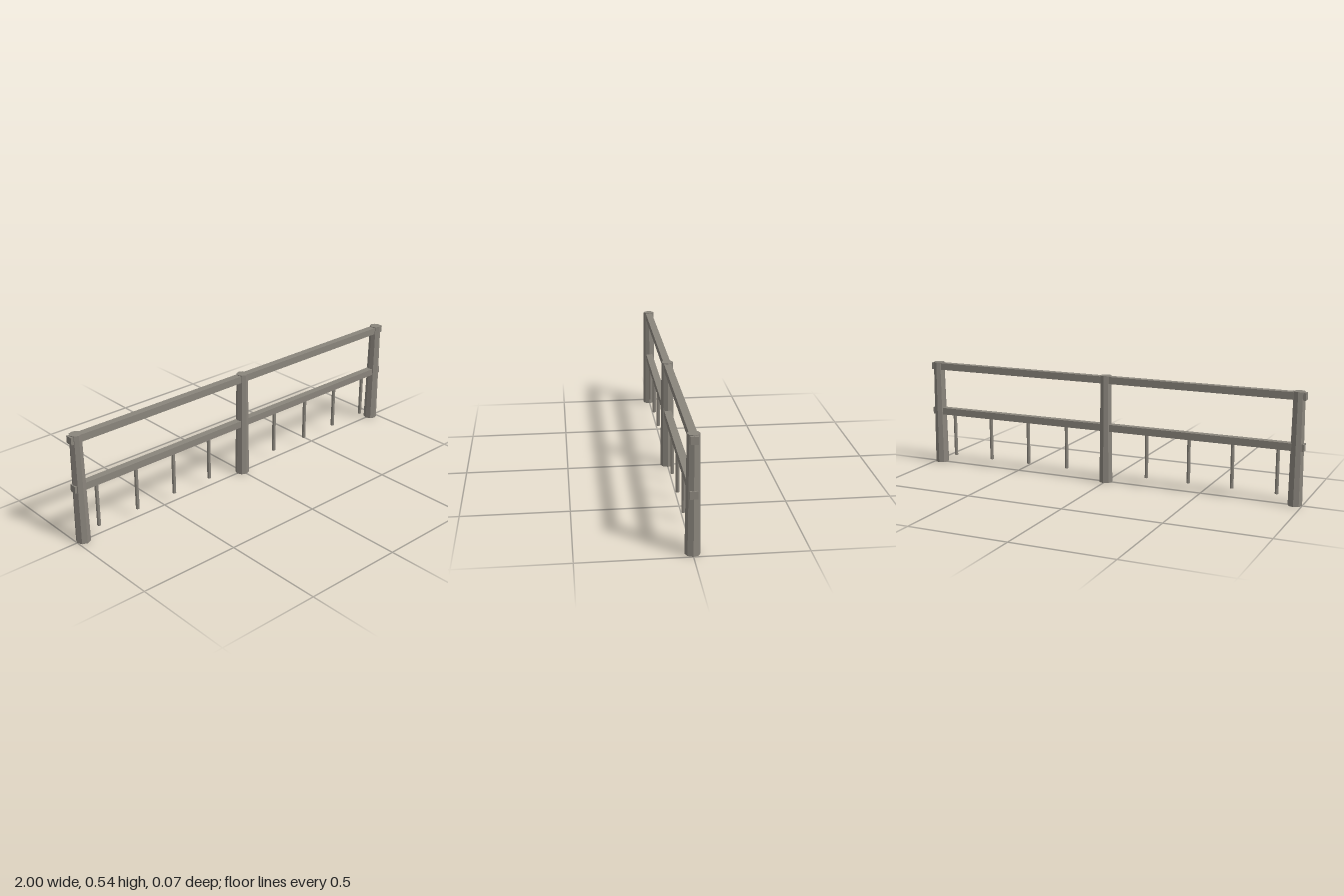
import * as THREE from 'three';

export function createModel() {
  const group = new THREE.Group();
  const wood = new THREE.MeshStandardMaterial({ color: 0x8a857c, flatShading: true });
  wood.name = 'weatheredWood';

  const add = (name, geometry, x, y) => {
    const mesh = new THREE.Mesh(geometry, wood);
    mesh.name = name;
    mesh.position.set(x, y, 0);
    group.add(mesh);
  };

  // Tapered octagonal posts
  const postHeight = 0.541;
  const postGeometry = new THREE.CylinderGeometry(0.028, 0.0345, postHeight, 8);
  ['rightPost', 'middlePost', 'leftPost'].forEach((name, i) =>
    add(name, postGeometry, (i - 1) * 0.9655, postHeight / 2));

  // Square rails running through the posts
  const railGeometry = new THREE.BoxGeometry(2, 0.035, 0.035);
  add('topRail', railGeometry, 0, 0.5195);
  add('lowerRail', railGeometry, 0, 0.2795);

  // Thin pegs hanging below the lower rail, four on each side
  const pegTop = 0.27, pegBottom = 0.044;
  const pegGeometry = new THREE.CylinderGeometry(0.009, 0.009, pegTop - pegBottom, 8);
  for (const side of [-1, 1]) {
    for (let i = 1; i <= 4; i++) {
      add('hangingPeg', pegGeometry, side * i * 0.2192, (pegTop + pegBottom) / 2);
    }
  }

  return group;
}
